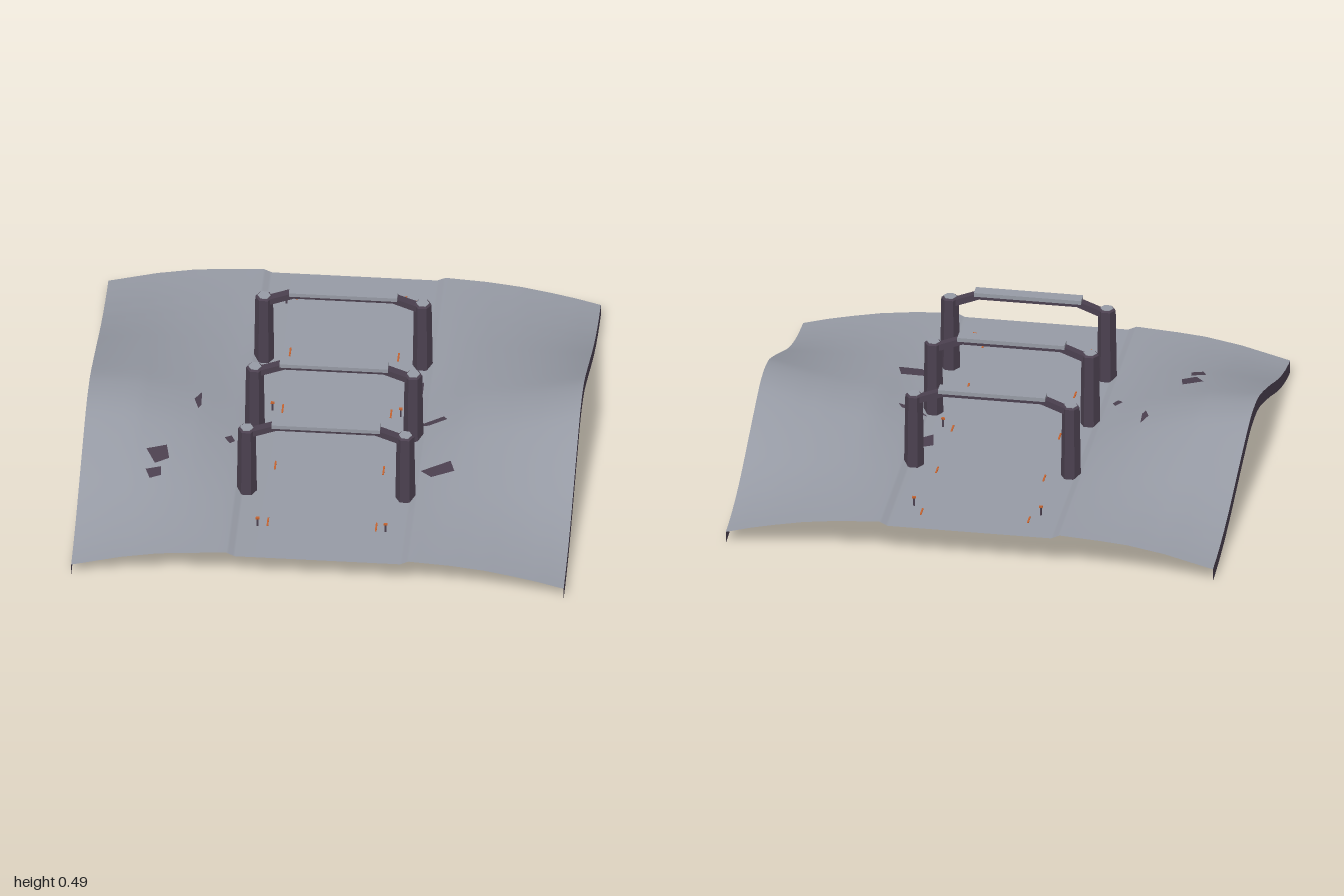
import * as THREE from 'three';

const mat = (name, color, side = THREE.FrontSide) => {
  const m = new THREE.MeshStandardMaterial({ color, side });
  m.name = name;
  return m;
};

const DEPTH = 0.94; // half depth of the ground
const FLOOR = 0.137; // height of the flat track

// Columns across the ground: x, height at the front/back ends, height at the ridge
const COLUMNS = [
  [-1, 0.053, 0.285], [-0.8, 0.105, 0.275], [-0.65, 0.132, 0.24], [-0.54, 0.142, 0.212],
  [-0.37, 0.153, 0.156], [-0.335, FLOOR, FLOOR], [0.335, FLOOR, FLOOR], [0.37, 0.153, 0.156],
  [0.54, 0.142, 0.215], [0.68, 0.125, 0.236], [0.8, 0.102, 0.262], [0.9, 0.08, 0.29], [1, 0.053, 0.32],
];

// Ridge profile: distance from the crest, share of the full height
const RIDGE = [
  [0, 1], [0.06, 0.99], [0.12, 0.94], [0.2, 0.83], [0.3, 0.68], [0.43, 0.48],
  [0.52, 0.34], [0.6, 0.23], [0.7, 0.12], [0.8, 0.045], [0.88, 0.01], [DEPTH, 0],
];

// Finds the span of a table that holds v, and how far along it v lies
function locate(table, v) {
  let i = 0;
  while (i < table.length - 2 && v > table[i + 1][0]) i++;
  return [table[i], table[i + 1], (v - table[i][0]) / (table[i + 1][0] - table[i][0])];
}
const lerp = THREE.MathUtils.lerp;

function groundHeight(x, z) {
  const [a, b, t] = locate(COLUMNS, x);
  const shift = x < 0 ? 0.07 : 0;
  const [r0, r1, s] = locate(RIDGE, Math.abs(z - shift * (1 - (z / DEPTH) ** 2)));
  const ridge = Math.max(0, lerp(r0[1], r1[1], s)) ** (x < 0 ? 0.85 : 1);
  return lerp(lerp(a[1], b[1], t), lerp(a[2], b[2], t), ridge);
}

export function createModel() {
  const model = new THREE.Group();
  model.name = 'hillyTrackSection';
  const groundMat = mat('ground grey', 0x969aa4, THREE.DoubleSide);
  const metal = mat('metal grey', 0x969aa4);
  const dark = mat('dark purple', 0x4b404f);
  const darkSheet = mat('dark purple sheet', 0x4b404f, THREE.DoubleSide);
  const orange = mat('marker orange', 0xc4622e);

  const add = (parent, name, geometry, material, x = 0, y = 0, z = 0) => {
    const mesh = new THREE.Mesh(geometry, material);
    mesh.name = name;
    mesh.position.set(x, y, z);
    parent.add(mesh);
    return mesh;
  };

  // Ground: a flat sunken track between two rolling banks, four strips per column span
  const strips = (COLUMNS.length - 1) * 4;
  const ground = new THREE.PlaneGeometry(2, DEPTH * 2, strips, 48).rotateX(-Math.PI / 2);
  const gp = ground.attributes.position;
  for (let i = 0; i < gp.count; i++) {
    const c = i % (strips + 1), span = Math.min(Math.floor(c / 4), COLUMNS.length - 2);
    const x = lerp(COLUMNS[span][0], COLUMNS[span + 1][0], c / 4 - span);
    gp.setXYZ(i, x, groundHeight(x, gp.getZ(i)), gp.getZ(i));
  }
  ground.computeVertexNormals();
  add(model, 'ground', ground, groundMat);

  // Dark strips hanging from the two side edges
  for (const side of [-1, 1]) {
    const skirt = new THREE.PlaneGeometry(DEPTH * 2, 1, 48, 1).rotateY(side * Math.PI / 2);
    const p = skirt.attributes.position;
    for (let i = 0; i < p.count; i++) {
      const drop = p.getY(i) > 0 ? 0 : 0.053;
      p.setXYZ(i, side, groundHeight(side, p.getZ(i)) - drop, p.getZ(i));
    }
    skirt.computeVertexNormals();
    add(model, side > 0 ? 'leftEdge' : 'rightEdge', skirt, darkSheet);
  }

  // Irregular dark patches draped on the ground, outlines in x, z
  const patches = [
    [[0.27, -0.215], [0.338, -0.255], [0.338, -0.17], [0.285, -0.12]],
    [[0.335, 0.03], [0.44, 0.015], [0.455, 0.038], [0.38, 0.055]],
    [[0.372, 0.35], [0.49, 0.305], [0.51, 0.368], [0.418, 0.395]],
    [[-0.572, 0.03], [-0.547, -0.025], [-0.541, 0.055], [-0.552, 0.085]],
    [[-0.435, 0.217], [-0.408, 0.193], [-0.392, 0.222], [-0.412, 0.245]],
    [[-0.74, 0.37], [-0.66, 0.335], [-0.645, 0.405], [-0.7, 0.44]],
    [[-0.735, 0.475], [-0.675, 0.455], [-0.67, 0.5], [-0.715, 0.52]],
  ];
  for (const outline of patches) {
    const shape = new THREE.Shape(outline.map(([x, z]) => new THREE.Vector2(x, -z)));
    const patch = new THREE.ShapeGeometry(shape).rotateX(-Math.PI / 2);
    const p = patch.attributes.position;
    for (let i = 0; i < p.count; i++) p.setY(i, groundHeight(p.getX(i), p.getZ(i)) + 0.006);
    patch.computeVertexNormals();
    add(model, 'groundPatch', patch, darkSheet);
  }

  // Gates: hexagonal posts, an angled crossbar and a wider plate on top
  const hex = (rTop, rBottom, h) => {
    const g = new THREE.CylinderGeometry(rTop, rBottom, h, 6).rotateY(Math.PI / 2).toNonIndexed();
    g.computeVertexNormals();
    return g;
  };
  const postGeo = hex(0.036, 0.041, 0.316);
  const bevelGeo = hex(0.028, 0.036, 0.006);
  const capGeo = hex(0.027, 0.027, 0.003);
  const barShape = new THREE.Shape([
    [-0.31, 0.42], [-0.29, 0.425], [-0.2, 0.46], [0.2, 0.46], [0.29, 0.425], [0.31, 0.42],
    [0.31, 0.447], [0.29, 0.453], [0.21, 0.484], [-0.21, 0.484], [-0.29, 0.453], [-0.31, 0.447],
  ].map(([x, y]) => new THREE.Vector2(x, y)));
  const barGeo = new THREE.ExtrudeGeometry(barShape, { depth: 0.036, bevelEnabled: false });
  barGeo.translate(0, 0, -0.018);
  const plateGeo = new THREE.BoxGeometry(0.44, 0.017, 0.054);

  for (const z of [-0.377, 0.093, 0.498]) {
    const gate = new THREE.Group();
    gate.name = 'gate';
    gate.position.z = z;
    for (const side of [-1, 1]) {
      add(gate, 'post', postGeo, dark, side * 0.322, 0.292, 0);
      add(gate, 'postBevel', bevelGeo, dark, side * 0.322, 0.453, 0);
      add(gate, 'postCap', capGeo, metal, side * 0.322, 0.457, 0);
    }
    add(gate, 'crossbar', barGeo, dark);
    add(gate, 'topPlate', plateGeo, metal, 0, 0.4845, 0);
    model.add(gate);
  }

  // Lane dashes and small marker pegs with orange caps
  const dashGeo = new THREE.BoxGeometry(0.007, 0.003, 0.054);
  const pegGeo = new THREE.BoxGeometry(0.007, 0.036, 0.007);
  const pegCapGeo = new THREE.BoxGeometry(0.015, 0.007, 0.009);
  for (const side of [-1, 1]) {
    for (let i = 0; i < 5; i++) {
      add(model, 'laneDash', dashGeo, orange, side * 0.22, FLOOR + 0.002, -0.795 + i * 0.375);
    }
    for (const z of [-0.743, -0.035, 0.729]) {
      add(model, 'markerPeg', pegGeo, dark, side * 0.26, FLOOR + 0.018, z);
      add(model, 'markerPegCap', pegCapGeo, orange, side * 0.26, FLOOR + 0.0375, z);
    }
  }
  return model;
}
